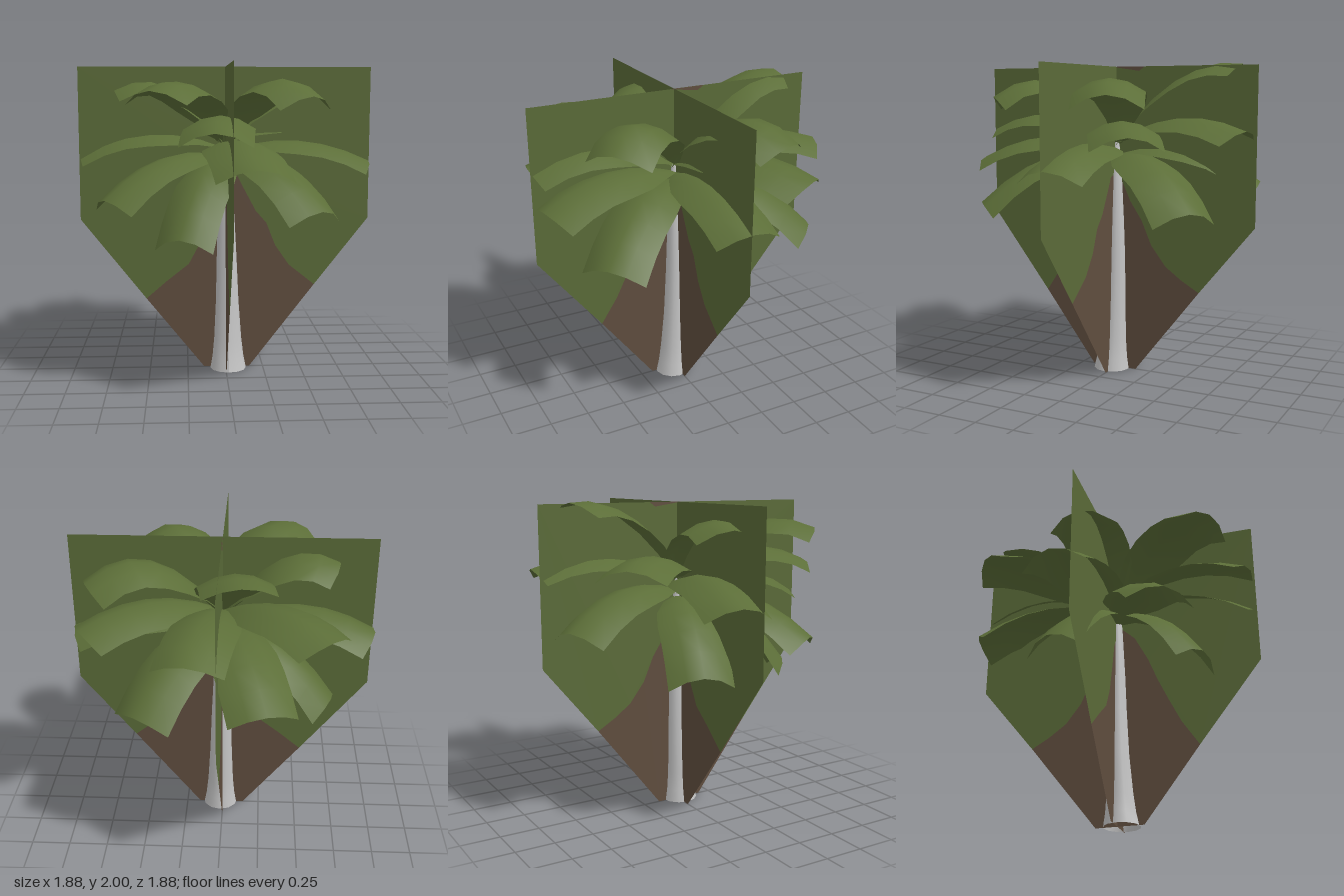
import * as THREE from 'three';

const mat = (name, color) => new THREE.MeshStandardMaterial({ name, color, side: THREE.DoubleSide });

// Curved leaf: narrow at the crown, wide and blunt at the tip, arched across
function frondGeometry([tx, ty, tz, midY, baseY = 1.5, half = 0.21]) {
  const NU = 6, NV = 4;
  const len = Math.hypot(tx, tz), dx = tx / len, dz = tz / len;
  const ctrlY = 2 * midY - (baseY + ty) / 2;
  const pos = [], index = [];
  for (let i = 0; i <= NU; i++) {
    const u = i / NU;
    const y = (1 - u) ** 2 * baseY + 2 * u * (1 - u) * ctrlY + u * u * ty;
    const w = half * Math.min(1, 0.12 + 0.9 * Math.sin(Math.min(u / 0.5, 1) * Math.PI / 2));
    for (let j = 0; j <= NV; j++) {
      const v = (j / NV) * 2 - 1;
      const along = u * len - 0.06 * u * u * v * v;
      pos.push(dx * along - dz * w * v, y - 0.08 * v * v * Math.min(1, u * 2.5), dz * along + dx * w * v);
    }
  }
  for (let i = 0; i < NU; i++) for (let j = 0; j < NV; j++) {
    const a = i * (NV + 1) + j, b = a + 1, c = a + NV + 1, d = c + 1;
    index.push(a, b, c, b, d, c);
  }
  const g = new THREE.BufferGeometry();
  g.setAttribute('position', new THREE.Float32BufferAttribute(pos, 3));
  g.setIndex(index);
  g.computeVertexNormals();
  // keep the upper side facing up
  if (g.attributes.normal.getY((NU / 2) * (NV + 1) + NV / 2) < 0) {
    g.setIndex(index.reverse());
    g.computeVertexNormals();
  }
  return g;
}

const flat = (pts) => new THREE.ShapeGeometry(new THREE.Shape(pts.map(([x, y]) => new THREE.Vector2(x, y))));

export function createModel() {
  const group = new THREE.Group();
  const leaf = mat('leafGreen', 0x5c6e38);
  const cardGreen = mat('cardGreen', 0x5a6a38);
  const earth = mat('cardBrown', 0x5f4d3e);
  const bark = mat('paleBark', 0xc4c4c4);
  const add = (name, geo, m, parent = group) => {
    const mesh = new THREE.Mesh(geo, m);
    mesh.name = name;
    parent.add(mesh);
    return mesh;
  };

  // Trunk: flared foot, slight lean
  const profile = [[0.118, 0], [0.103, 0.08], [0.09, 0.2], [0.075, 0.45], [0.065, 0.75],
    [0.055, 1], [0.036, 1.35], [0.02, 1.5]].map(([r, y]) => new THREE.Vector2(r, y));
  const trunk = new THREE.LatheGeometry(profile, 12);
  const p = trunk.attributes.position;
  for (let i = 0; i < p.count; i++) {
    const y = p.getY(i);
    p.setX(i, p.getX(i) + 0.018 * Math.max(0, 1 - y / 1.5));
    p.setZ(i, p.getZ(i) + 0.024 * Math.max(0, 1 - y / 0.6));
  }
  trunk.computeVertexNormals();
  add('trunk', trunk, bark);

  // Two crossed cards, each green above a brown hump
  const card = (name, foot, hump) => {
    const g = new THREE.Group();
    g.name = name;
    add('cardLower', flat([[foot[0], 0], [foot[1], 0], ...[...hump].reverse()]), earth, g);
    add('cardUpper', flat([...hump, [0.94, 1], [0.94, 1.98], [-0.94, 1.98], [-0.94, 1]]), cardGreen, g);
    group.add(g);
    return g;
  };
  card('frontCard', [-0.14, 0.16], [[-0.52, 0.47], [-0.38, 0.59], [-0.24, 0.7], [-0.17, 0.83], [-0.12, 1],
    [-0.07, 1.2], [0, 1.3], [0.08, 1.28], [0.12, 1.2], [0.2, 1.05], [0.27, 0.97], [0.33, 0.82], [0.42, 0.69], [0.59, 0.555]]);
  const side = card('sideCard', [-0.14, 0.17], [[-0.58, 0.56], [-0.46, 0.63], [-0.35, 0.71], [-0.25, 0.84],
    [-0.18, 1], [-0.1, 1.12], [-0.04, 1.25], [0.03, 1.35], [0.12, 1.27], [0.21, 1.1], [0.27, 0.95], [0.34, 0.8],
    [0.42, 0.64], [0.53, 0.475]]);
  side.rotation.y = -Math.PI / 2;
  const smudge = [[0.03, 1.98], [-0.06, 1.967], [-0.16, 1.952], [-0.2, 1.98]];
  for (const z of [-0.003, 0.003]) add('topPatch', flat(smudge), earth, side).position.z = z;

  // Fronds: tip x, y, z, height halfway, height at crown, half width
  const fronds = {
    upperFrond: [
      [-0.13, 1.99, -0.8, 1.9, 1.48], [-0.71, 1.84, -0.05, 1.85, 1.48],
      [0.48, 1.79, 0.62, 1.87, 1.48], [0.79, 1.8, -0.33, 1.87, 1.48],
      [-0.46, 1.82, 0.74, 1.84, 1.48],
    ],
    middleFrond: [
      [0.17, 1.59, -0.93, 1.66], [-0.94, 1.43, -0.14, 1.56, 1.46],
      [0.94, 1.38, -0.02, 1.51, 1.44], [-0.64, 1.64, -0.7, 1.68],
      [0.82, 1.57, -0.48, 1.65], [-0.1, 1.59, 0.93, 1.68],
      [0.14, 1.39, 0.92, 1.53, 1.45, 0.23],
    ],
    lowerFrond: [
      [-0.28, 1.26, -0.88, 1.47, 1.42], [0.49, 1.13, -0.71, 1.41, 1.4],
      [-0.74, 1.18, 0.5, 1.42, 1.4], [0.53, 1.13, 0.69, 1.41, 1.4],
      [-0.3, 0.96, 0.63, 1.32, 1.38, 0.19], [-0.69, 1.0, -0.23, 1.33, 1.38, 0.2],
    ],
  };
  for (const [name, list] of Object.entries(fronds))
    for (const f of list) add(name, frondGeometry(f), leaf);

  return group;
}
